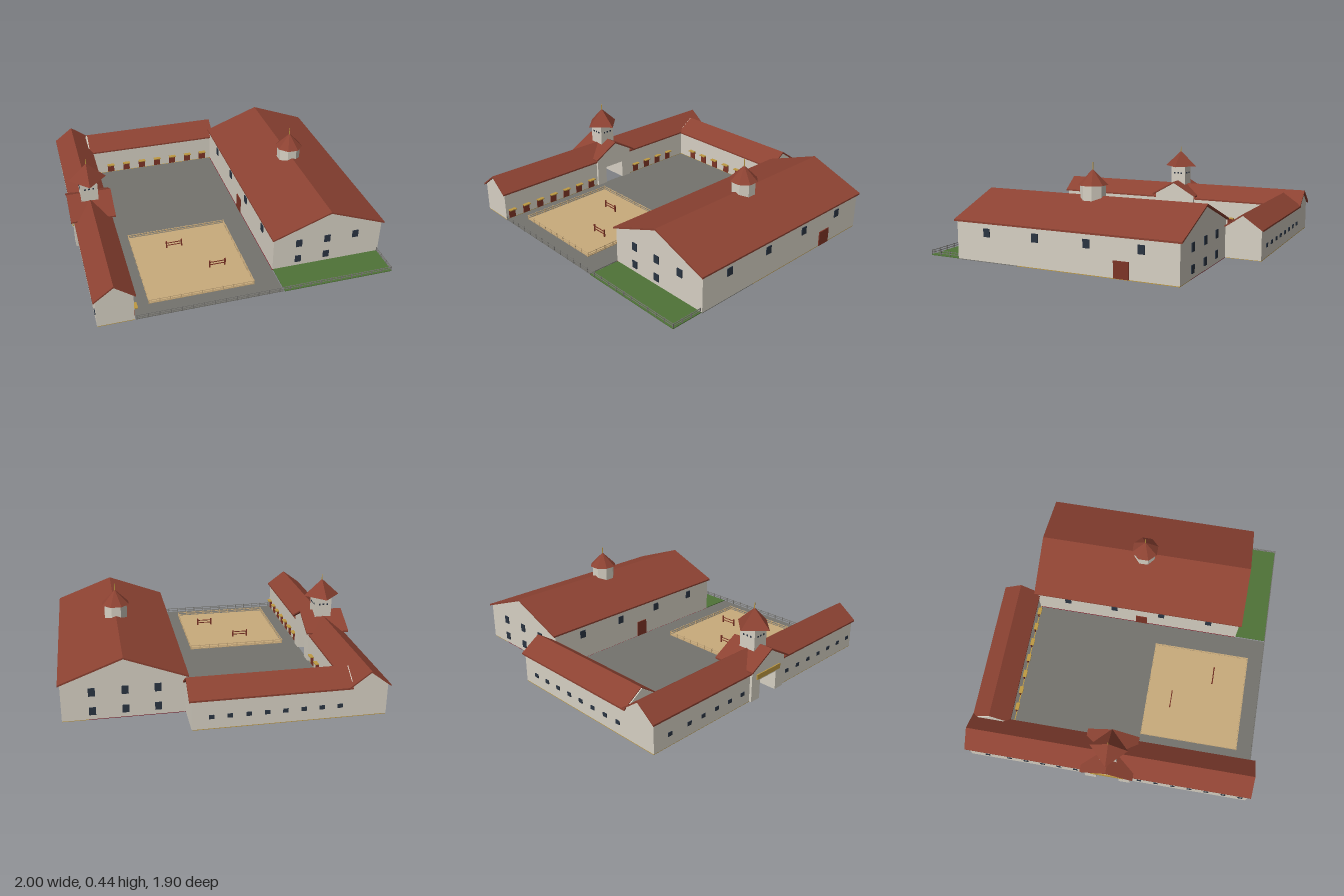
import * as THREE from 'three';

const mat = (name, color) => {
  const m = new THREE.MeshStandardMaterial({ color });
  m.name = name;
  return m;
};

export function createModel() {
  const plaster = mat('plaster', 0xd6d0c3), tile = mat('roof tile', 0x8c4232);
  const paving = mat('paving', 0x74736d), grass = mat('grass', 0x4f7337);
  const sand = mat('sand', 0xc9ab7c), redFloor = mat('red floor', 0x7a1020);
  const straw = mat('straw gold', 0xbf9a42), glass = mat('window glass', 0x2a3442);
  const wood = mat('red wood', 0x7d3426), metal = mat('grey metal', 0x777672);

  const model = new THREE.Group();
  model.name = 'ridingSchool';
  // The yard is laid out square, then turned 45 degrees.
  const yard = new THREE.Group();
  yard.name = 'yard';
  yard.rotation.y = -Math.PI / 4;
  model.add(yard);

  const add = (name, geo, m, x = 0, y = 0, z = 0) => {
    const mesh = new THREE.Mesh(geo, m);
    mesh.name = name;
    mesh.position.set(x, y, z);
    yard.add(mesh);
    return mesh;
  };
  // Box given by its lower and upper corners
  const span = (name, m, x0, x1, y0, y1, z0, z1) =>
    add(name, new THREE.BoxGeometry(x1 - x0, y1 - y0, z1 - z0), m, (x0 + x1) / 2, (y0 + y1) / 2, (z0 + z1) / 2);
  const extrude = (pts, length, hole) => {
    const shape = new THREE.Shape(pts.map(p => new THREE.Vector2(...p)));
    return new THREE.ExtrudeGeometry(shape, { depth: length, bevelEnabled: false }).translate(0, 0, -length / 2);
  };
  const T = 0.008;
  // Gabled roof slab, running along x or z
  const roof = (name, axis, cx, cz, w, length, eave, ridge) => {
    const g = extrude([[-w, eave - T], [0, ridge - T], [w, eave - T], [w, eave], [0, ridge], [-w, eave]], length);
    if (axis === 'x') g.rotateY(Math.PI / 2);
    add(name, g, tile, cx, 0, cz);
  };
  // Gabled wall block fitting under such a roof; door = [half width, height] cuts a passage
  const walls = (name, axis, cx, cz, w, inset, length, eave, ridge, door) => {
    const h = w - inset, top = eave - T / 2 + inset * (ridge - eave) / w, y0 = 0.003;
    const pts = [[-h, y0]];
    if (door) pts.push([-door[0], y0], [-door[0], door[1]], [door[0], door[1]], [door[0], y0]);
    pts.push([h, y0], [h, top], [0, ridge - T / 2], [-h, top]);
    const g = extrude(pts, length);
    if (axis === 'x') g.rotateY(Math.PI / 2);
    add(name, g, plaster, cx, 0, cz);
  };
  // Thin plate on a wall; face is the axis the wall faces
  const plate = (name, m, face, x, y, z, w, h, t = 0.006) =>
    add(name, face === 'z' ? new THREE.BoxGeometry(w, h, t) : new THREE.BoxGeometry(t, h, w), m, x, y, z);

  // Ground and floors
  span('courtyard', paving, -0.565, 0.662, 0, 0.004, -0.206, 0.48);
  span('lawn', grass, 0.505, 0.665, 0, 0.004, -0.75, -0.212);
  span('ridingArena', sand, 0.09, 0.583, 0.004, 0.008, -0.09, 0.405);
  span('hallFloor', redFloor, -0.57, 0.505, 0, 0.003, -0.64, -0.206);
  span('hallStableFloor', straw, -0.57, 0.19, 0, 0.003, -0.755, -0.64);
  span('hallWashFloor', paving, 0.19, 0.505, 0, 0.003, -0.755, -0.64);
  span('rearWingFloor', straw, -0.74, -0.565, 0, 0.003, -0.21, 0.485);
  span('gateWingFloor', straw, -0.74, -0.15, 0, 0.003, 0.485, 0.65);
  span('gateWingFloor', straw, 0.076, 0.662, 0, 0.003, 0.485, 0.65);

  // Riding hall
  walls('hallWalls', 'x', -0.033, -0.482, 0.282, 0.009, 1.076, 0.183, 0.29);
  roof('hallRoof', 'x', -0.033, -0.482, 0.282, 1.1, 0.183, 0.29);
  for (const x of [0.345, 0.095, -0.155, -0.405]) {
    plate('hallWindow', glass, 'z', x, 0.134, -0.756, 0.032, 0.038);
    plate('hallWindow', glass, 'z', x, 0.134, -0.208, 0.032, 0.038);
  }
  for (const x of [-0.572, 0.506]) {
    for (const z of [-0.335, -0.478, -0.622]) {
      plate('gableWindow', glass, 'x', x, 0.134, z, 0.03, 0.038);
      if (x < 0 || z > -0.6) plate('lowerGableWindow', glass, 'x', x, 0.043, z, 0.03, 0.036);
    }
  }
  plate('hallOuterDoor', wood, 'z', -0.315, 0.04, -0.757, 0.07, 0.074);
  plate('hallCourtDoor', wood, 'z', -0.01, 0.043, -0.207, 0.06, 0.08);

  // Octagonal roof lantern on the hall
  const octagon = Math.PI / 8;
  add('lanternBody', new THREE.CylinderGeometry(0.058, 0.058, 0.09, 8).rotateY(octagon).toNonIndexed(), plaster, -0.038, 0.295, -0.48)
    .geometry.computeVertexNormals();
  add('lanternRoof', new THREE.ConeGeometry(0.069, 0.07, 8).rotateY(octagon).toNonIndexed(), tile, -0.038, 0.372, -0.48)
    .geometry.computeVertexNormals();
  add('lanternSpire', new THREE.CylinderGeometry(0.002, 0.003, 0.04, 6), straw, -0.038, 0.418, -0.48);

  // Rear stable wing
  walls('rearWingWalls', 'z', -0.655, 0.14, 0.095, 0.01, 0.71, 0.145, 0.21);
  roof('rearWingRoof', 'z', -0.655, 0.132, 0.095, 0.716, 0.145, 0.21);

  // Gate wing, in two blocks either side of the gatehouse
  const gx = -0.037, gz = 0.568;
  walls('gateWingWalls', 'x', -0.445, gz, 0.093, 0.01, 0.59, 0.147, 0.217);
  walls('gateWingWalls', 'x', 0.369, gz, 0.093, 0.01, 0.586, 0.147, 0.217);
  roof('gateWingRoof', 'x', -0.039, gz, 0.093, 1.422, 0.147, 0.217);

  // Gatehouse with its passage
  walls('gatehouse', 'z', gx, gz, 0.13, 0.016, 0.19, 0.162, 0.236, [0.057, 0.097]);
  roof('gatehouseRoof', 'z', gx, gz, 0.13, 0.218, 0.162, 0.236);
  plate('gateSign', straw, 'z', gx, 0.118, gz + 0.097, 0.165, 0.025);

  // Gate tower
  add('towerBody', new THREE.BoxGeometry(0.084, 0.14, 0.084), plaster, gx, 0.25, gz);
  add('towerRoof', new THREE.ConeGeometry(0.092, 0.085, 4).toNonIndexed(), tile, gx, 0.358, gz)
    .geometry.computeVertexNormals();
  add('towerSpire', new THREE.CylinderGeometry(0.002, 0.003, 0.03, 6), straw, gx, 0.41, gz);
  for (const s of [-1, 1]) for (const d of [-0.02, 0, 0.02]) {
    plate('towerWindow', glass, 'z', gx + d, 0.278, gz + s * 0.042, 0.008, 0.008, 0.004);
    plate('towerWindow', glass, 'x', gx + s * 0.042, 0.278, gz + d, 0.008, 0.008, 0.004);
  }

  // Stable windows on the outside, stall doors with small canopies on the court side
  const stall = (face, x, z) => {
    plate('stallDoor', wood, face, x, 0.026, z, 0.036, 0.044);
    const cx = face === 'x' ? x + 0.008 : x, cz = face === 'z' ? z - 0.008 : z;
    plate('stallCanopy', straw, face, cx, 0.05, cz, 0.038, 0.005, 0.02);
  };
  for (let i = 0; i < 7; i++) {
    const x = 0.121 + i * 0.0845;
    plate('stableWindow', glass, 'z', x, 0.059, 0.651, 0.023, 0.018);
    stall('z', x, 0.484);
    stall('x', -0.569, 0.38 - i * 0.09);
  }
  for (let i = 0; i < 6; i++) {
    const x = i < 5 ? -0.2 - i * 0.0845 : -0.65;
    plate('stableWindow', glass, 'z', x, 0.059, 0.651, 0.023, 0.018);
    if (i < 4) stall('z', x, 0.484);
  }
  for (let i = 0; i < 8; i++) plate('stableWindow', glass, 'x', -0.741, 0.059, -0.13 + i * 0.081, 0.023, 0.018);

  // Post and rail fences
  const fence = (name, m, x0, z0, x1, z1, h, r) => {
    const len = Math.hypot(x1 - x0, z1 - z0), n = Math.round(len / 0.05);
    for (let i = 0; i <= n; i++) {
      const t = i / n;
      add(name + 'Post', new THREE.BoxGeometry(r * 1.5, h, r * 1.5), m, x0 + (x1 - x0) * t, h / 2, z0 + (z1 - z0) * t);
    }
    for (const y of [h * 0.5, h * 0.88]) {
      const rail = add(name + 'Rail', new THREE.BoxGeometry(len, r, r), m, (x0 + x1) / 2, y, (z0 + z1) / 2);
      rail.rotation.y = -Math.atan2(z1 - z0, x1 - x0);
    }
  };
  fence('yardFence', metal, 0.662, 0.475, 0.662, -0.748, 0.026, 0.0025);
  fence('yardFence', metal, 0.662, -0.748, 0.51, -0.748, 0.026, 0.0025);
  const corners = [[0.09, -0.09], [0.583, -0.09], [0.583, 0.405], [0.09, 0.405]];
  corners.forEach((c, i) => fence('arenaFence', sand, ...c, ...corners[(i + 1) % 4], 0.028, 0.003));

  // Practice jumps in the arena
  for (const [x, z] of [[0.215, 0.2], [0.415, 0.037]]) {
    for (const s of [-1, 1]) span('jumpStand', wood, x - 0.003, x + 0.003, 0.008, 0.046, z + s * 0.038 - 0.003, z + s * 0.038 + 0.003);
    for (const y of [0.022, 0.036])
      add('jumpPole', new THREE.CylinderGeometry(0.0025, 0.0025, 0.076, 6).rotateX(Math.PI / 2), wood, x, y, z);
  }
  return model;
}
